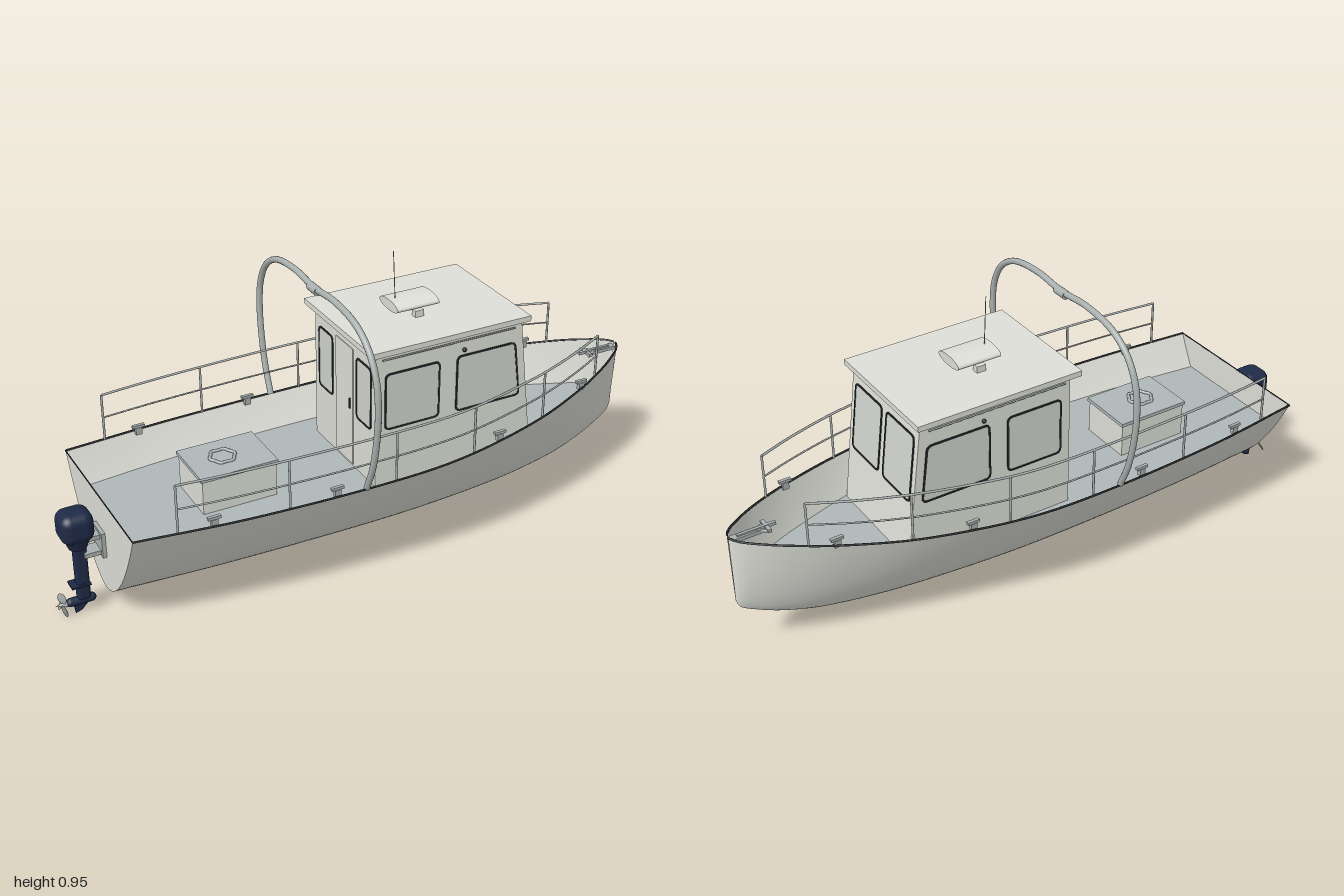
import * as THREE from 'three';
import { RoundedBoxGeometry } from 'three/addons/geometries/RoundedBoxGeometry.js';

const mat = (name, color, side = THREE.FrontSide) => {
  const m = new THREE.MeshStandardMaterial({ color, side });
  m.name = name;
  return m;
};
const V = (x, y, z) => new THREE.Vector3(x, y, z);

export function createModel() {
  const paint = mat('light grey paint', 0xdddfd7, THREE.DoubleSide);
  const deckGrey = mat('deck grey', 0xafb7b8, THREE.DoubleSide);
  const glass = mat('window glass', 0xd0d3cd);
  const black = mat('black trim', 0x25282a);
  const metal = mat('steel', 0xa9b0ae);
  const navy = mat('engine navy', 0x1f2a47);

  const root = new THREE.Group();
  root.name = 'boat';
  const add = (name, geo, m, x = 0, y = 0, z = 0, parent = root) => {
    const mesh = new THREE.Mesh(geo, m);
    mesh.name = name;
    mesh.position.set(x, y, z);
    parent.add(mesh);
    return mesh;
  };
  const box = (name, w, h, d, m, x, y, z, parent) =>
    add(name, new THREE.BoxGeometry(w, h, d), m, x, y, z, parent);
  const tube = (name, pts, r, m, n = 40, sides = 8) =>
    add(name, new THREE.TubeGeometry(new THREE.CatmullRomCurve3(pts), n, r, sides), m);
  const rod = (name, a, b, r, m) => {
    const mesh = add(name, new THREE.CylinderGeometry(r, r, a.distanceTo(b), 8), m);
    mesh.position.copy(a).add(b).multiplyScalar(0.5);
    mesh.quaternion.setFromUnitVectors(V(0, 1, 0), b.clone().sub(a).normalize());
    return mesh;
  };

  // Hull stations: x, sheer height, half beam, keel height
  const table = [
    [-0.84, 0.391, 0.28, 0.066], [-0.5, 0.384, 0.315, 0.056], [-0.1, 0.381, 0.33, 0.051],
    [0.2, 0.385, 0.319, 0.051], [0.5, 0.399, 0.26, 0.057], [0.72, 0.417, 0.184, 0.08],
    [0.86, 0.431, 0.117, 0.119], [0.95, 0.439, 0.059, 0.162], [0.985, 0.442, 0.027, 0.186],
    [0.997, 0.443, 0.004, 0.213],
  ];
  const curve = f => new THREE.CatmullRomCurve3(table.map(f), false, 'catmullrom');
  const sheerCurve = curve(r => V(r[0], r[1], r[2]));
  const keelCurve = curve(r => V(r[0], r[3], 0));
  const station = t => {
    const s = sheerCurve.getPoint(t);
    return { x: s.x, sheer: s.y, beam: Math.max(s.z, 0), keel: keelCurve.getPoint(t).y };
  };
  const at = x => {
    let lo = 0, hi = 1;
    for (let i = 0; i < 30; i++) {
      const mid = (lo + hi) / 2;
      if (sheerCurve.getPoint(mid).x < x) lo = mid; else hi = mid;
    }
    return station(lo);
  };
  const POW = 1.85;
  const grid = (rows, cols, f) => {
    const pos = [], idx = [];
    for (let i = 0; i <= rows; i++) for (let j = 0; j <= cols; j++) {
      pos.push(...f(i / rows, j / cols));
      if (i < rows && j < cols) {
        const a = i * (cols + 1) + j, b = a + cols + 1;
        idx.push(a, b, a + 1, b, b + 1, a + 1);
      }
    }
    const g = new THREE.BufferGeometry();
    g.setAttribute('position', new THREE.Float32BufferAttribute(pos, 3));
    g.setIndex(idx);
    g.computeVertexNormals();
    return g;
  };
  for (const side of [-1, 1]) {
    add(side > 0 ? 'hullFrontSide' : 'hullBackSide', grid(72, 18, (u, v) => {
      const s = station(u), w = side > 0 ? v : 1 - v;
      return [s.x, s.keel + (s.sheer - s.keel) * w ** POW, side * w * s.beam];
    }), paint);
  }
  // Transom
  const st = station(0), outline = [];
  for (let j = -18; j <= 18; j++) {
    const w = j / 18;
    outline.push(new THREE.Vector2(w * st.beam, st.keel + (st.sheer - st.keel) * Math.abs(w) ** POW));
  }
  add('transom', new THREE.ShapeGeometry(new THREE.Shape(outline)).rotateY(-Math.PI / 2), paint, st.x);

  // Deck cut to the hull at one level
  const deckY = 0.283;
  add('deck', grid(72, 1, (u, v) => {
    const s = station(u);
    const w = Math.max(0, (deckY - s.keel) / (s.sheer - s.keel)) ** (1 / POW);
    return [s.x, deckY, (1 - 2 * v) * w * s.beam * 0.993];
  }), deckGrey);

  // Gunwale trim
  const edge = (x, z) => { const s = at(x); return V(s.x, s.sheer, z * s.beam); };
  for (const side of [-1, 1]) {
    const pts = [];
    for (let i = 0; i <= 36; i++) { const s = station(i / 36); pts.push(V(s.x, s.sheer, side * s.beam)); }
    tube('gunwale', pts, 0.0035, black, 90, 6);
  }
  rod('transomTrim', V(-0.84, 0.391, -0.28), V(-0.84, 0.391, 0.28), 0.002, black);

  // Guard rails and mooring cleats
  for (const side of [-1, 1]) {
    const inset = 0.985 * side;
    const rise = x => 0.543 + 0.029 * Math.max(0, (x - 0.2) / 0.615) ** 1.1;
    const line = f => Array.from({ length: 17 }, (_, i) => {
      const x = -0.71 + 1.525 * i / 16, p = edge(x, inset);
      return V(x, f(x, p.y), p.z);
    });
    tube('topRail', line(x => rise(x)), 0.004, metal, 60, 6);
    tube('middleRail', line((x, y) => y + (rise(x) - y) * 0.5), 0.003, metal, 60, 6);
    for (const x of [-0.71, -0.375, -0.03, 0.25, 0.54, 0.815]) {
      const p = edge(x, inset);
      rod('railPost', p, V(x, rise(x), p.z), 0.0038, metal);
    }
    for (const x of [-0.6, -0.22, 0.36, 0.74]) {
      const p = edge(x, 0.95 * side);
      box('cleatBase', 0.02, 0.024, 0.014, metal, p.x, p.y + 0.004, p.z);
      box('cleatHorn', 0.04, 0.009, 0.011, metal, p.x, p.y + 0.02, p.z);
    }
  }

  // Cabin: side profile extruded across the boat
  const frontX = y => 0.53 - 0.055 * (y - 0.285) / 0.455;
  const profile = new THREE.Shape([[-0.03, deckY], [frontX(deckY), deckY], [frontX(0.736), 0.736], [-0.03, 0.736]]
    .map(p => new THREE.Vector2(...p)));
  add('cabin', new THREE.ExtrudeGeometry(profile, { depth: 0.39, bevelEnabled: false }), paint, 0, 0, -0.195);
  box('cabinRoof', 0.55, 0.018, 0.436, paint, 0.219, 0.742, 0);

  // Windows: rounded frame ring around a thin pane
  const rounded = (pts, r) => {
    const s = new THREE.Shape(), n = pts.length;
    pts.forEach((p, i) => {
      const c = new THREE.Vector2(...p);
      const toward = q => c.clone().add(new THREE.Vector2(...q).sub(c).setLength(r));
      const a = toward(pts[(i + n - 1) % n]), b = toward(pts[(i + 1) % n]);
      if (i) s.lineTo(a.x, a.y); else s.moveTo(a.x, a.y);
      s.quadraticCurveTo(c.x, c.y, b.x, b.y);
    });
    s.closePath();
    return s;
  };
  const windowPane = (name, pts) => {
    const g = new THREE.Group();
    g.name = name;
    const cx = pts.reduce((s, p) => s + p[0], 0) / 4, cy = pts.reduce((s, p) => s + p[1], 0) / 4;
    const inner = rounded(pts.map(([x, y]) => [x - Math.sign(x - cx) * 0.006, y - Math.sign(y - cy) * 0.006]), 0.014);
    const frame = rounded(pts, 0.019);
    frame.holes.push(inner);
    add('windowFrame', new THREE.ExtrudeGeometry(frame, { depth: 0.003, bevelEnabled: false }), black, 0, 0, 0, g);
    add('windowGlass', new THREE.ExtrudeGeometry(inner, { depth: 0.0015, bevelEnabled: false }), glass, 0, 0, 0, g);
    root.add(g);
    return g;
  };
  const rect = (x0, x1, y0, y1) => [[x0, y0], [x1, y0], [x1, y1], [x0, y1]];
  for (const side of [-1, 1]) {
    const quads = [rect(0, 0.19, 0.472, 0.663), [[0.247, 0.472], [0.481, 0.472], [0.458, 0.663], [0.247, 0.663]]];
    for (const q of quads) {
      const pts = side > 0 ? q : q.map(([x, y]) => [-x, y]).reverse();
      const w = windowPane('sideWindow', pts);
      w.position.z = side * 0.195;
      if (side < 0) w.rotation.y = Math.PI;
    }
    const f = windowPane('frontWindow', side > 0 ? rect(0.011, 0.175, -0.111, 0.111) : rect(-0.175, -0.011, -0.111, 0.111));
    f.rotation.set(-Math.atan(0.055 / 0.455), Math.PI / 2, 0, 'YXZ');
    f.position.set(frontX(0.582), 0.582, 0);
    const b = windowPane('backWindow', side > 0 ? rect(0.075, 0.17, 0.467, 0.676) : rect(-0.17, -0.075, 0.467, 0.676));
    b.rotation.y = -Math.PI / 2;
    b.position.x = -0.03;
    rod('grabRail', V(-0.01, 0.713, side * 0.2), V(0.45, 0.713, side * 0.2), 0.0028, metal);
    add('sideLamp', new THREE.SphereGeometry(0.007, 12, 8), black, 0.27, 0.682, side * 0.201);
  }
  box('cabinDoor', 0.003, 0.4, 0.11, paint, -0.031, 0.49, 0);
  box('doorHandle', 0.006, 0.035, 0.005, black, -0.034, 0.5, 0.04);

  // Radar and aerial on the roof
  const radar = new THREE.CylinderGeometry(1, 1, 0.145, 32).rotateZ(Math.PI / 2).scale(1, 0.017, 0.057);
  add('radarScanner', radar, paint, 0.193, 0.781, 0);
  add('radarPost', new THREE.CylinderGeometry(0.012, 0.012, 0.025, 16), metal, 0.193, 0.759, 0);
  for (const side of [-1, 1]) box('radarFoot', 0.03, 0.022, 0.022, paint, 0.193, 0.761, side * 0.053);
  rod('aerial', V(0.145, 0.75, 0), V(0.135, 0.953, 0), 0.0013, metal);

  // Tall arch over the deck
  const half = [[0.325, 0.381], [0.36, 0.467], [0.382, 0.567], [0.39, 0.667], [0.378, 0.757], [0.335, 0.832],
    [0.26, 0.881], [0.13, 0.901], [0, 0.892]];
  tube('arch', [...half.map(([z, y]) => V(-0.13, y, z)),
    ...half.slice(0, -1).reverse().map(([z, y]) => V(-0.13, y, -z))], 0.01, metal, 110, 12);
  add('archClamp', new THREE.CylinderGeometry(0.014, 0.014, 0.05, 16).rotateX(Math.PI / 2), metal, -0.13, 0.889, 0);

  // Engine hatch with a scalloped ring handle
  box('engineHatch', 0.24, 0.112, 0.18, paint, -0.43, 0.339, 0);
  box('hatchLid', 0.25, 0.012, 0.19, deckGrey, -0.43, 0.4, 0);
  const ring = Array.from({ length: 24 }, (_, i) => {
    const a = i * Math.PI / 12, r = 0.038 + 0.003 * Math.cos(6 * a);
    return V(-0.445 + r * Math.cos(a), 0.409, r * Math.sin(a));
  });
  add('hatchRing', new THREE.TubeGeometry(new THREE.CatmullRomCurve3(ring, true), 48, 0.005, 8, true), deckGrey);

  // Bow roller and anchor
  box('bowRoller', 0.09, 0.012, 0.024, metal, 0.945, 0.43, 0);
  box('anchorShank', 0.12, 0.01, 0.01, metal, 0.91, 0.436, 0);
  box('anchorStock', 0.012, 0.01, 0.056, metal, 0.88, 0.434, 0);
  for (const side of [-1, 1]) {
    rod('anchorFluke', V(0.915, 0.434, 0), V(0.875, 0.43, side * 0.024), 0.005, metal);
  }

  // Outboard engine
  const motor = new THREE.Group();
  motor.name = 'outboardEngine';
  root.add(motor);
  add('engineCowl', new RoundedBoxGeometry(0.102, 0.098, 0.098, 5, 0.032), navy, -0.917, 0.31, 0, motor);
  add('cowlBase', new THREE.CylinderGeometry(0.043, 0.028, 0.04, 20), navy, -0.914, 0.253, 0, motor);
  add('engineLeg', new RoundedBoxGeometry(0.042, 0.2, 0.03, 3, 0.012), navy, -0.911, 0.147, 0, motor);
  box('sprayPlate', 0.06, 0.006, 0.045, navy, -0.92, 0.105, 0, motor);
  add('gearCase', new THREE.CapsuleGeometry(0.014, 0.065, 6, 14).rotateZ(Math.PI / 2), navy, -0.92, 0.045, 0, motor);
  const fin = new THREE.Shape([[-0.945, 0.04], [-0.94, 0.003], [-0.92, 0.01], [-0.89, 0.04]].map(p => new THREE.Vector2(...p)));
  add('skeg', new THREE.ExtrudeGeometry(fin, { depth: 0.005, bevelEnabled: false }), navy, 0, 0, -0.0025, motor);
  for (const y of [0.207, 0.262]) box('mountArm', 0.065, 0.014, 0.05, metal, -0.87, y, 0, motor);
  box('mountPlate', 0.012, 0.085, 0.075, metal, -0.846, 0.235, 0, motor);
  add('propellerHub', new THREE.ConeGeometry(0.011, 0.035, 14).rotateZ(Math.PI / 2), metal, -0.983, 0.045, 0, motor);
  for (let i = 0; i < 3; i++) {
    const pivot = new THREE.Group();
    pivot.name = 'propellerBlade';
    pivot.position.set(-0.978, 0.045, 0);
    pivot.rotation.x = i * Math.PI * 2 / 3;
    motor.add(pivot);
    const blade = add('blade', new THREE.SphereGeometry(1, 14, 8).scale(0.003, 0.019, 0.017), metal, 0, 0.022, 0, pivot);
    blade.rotation.y = 0.6;
  }
  return root;
}
